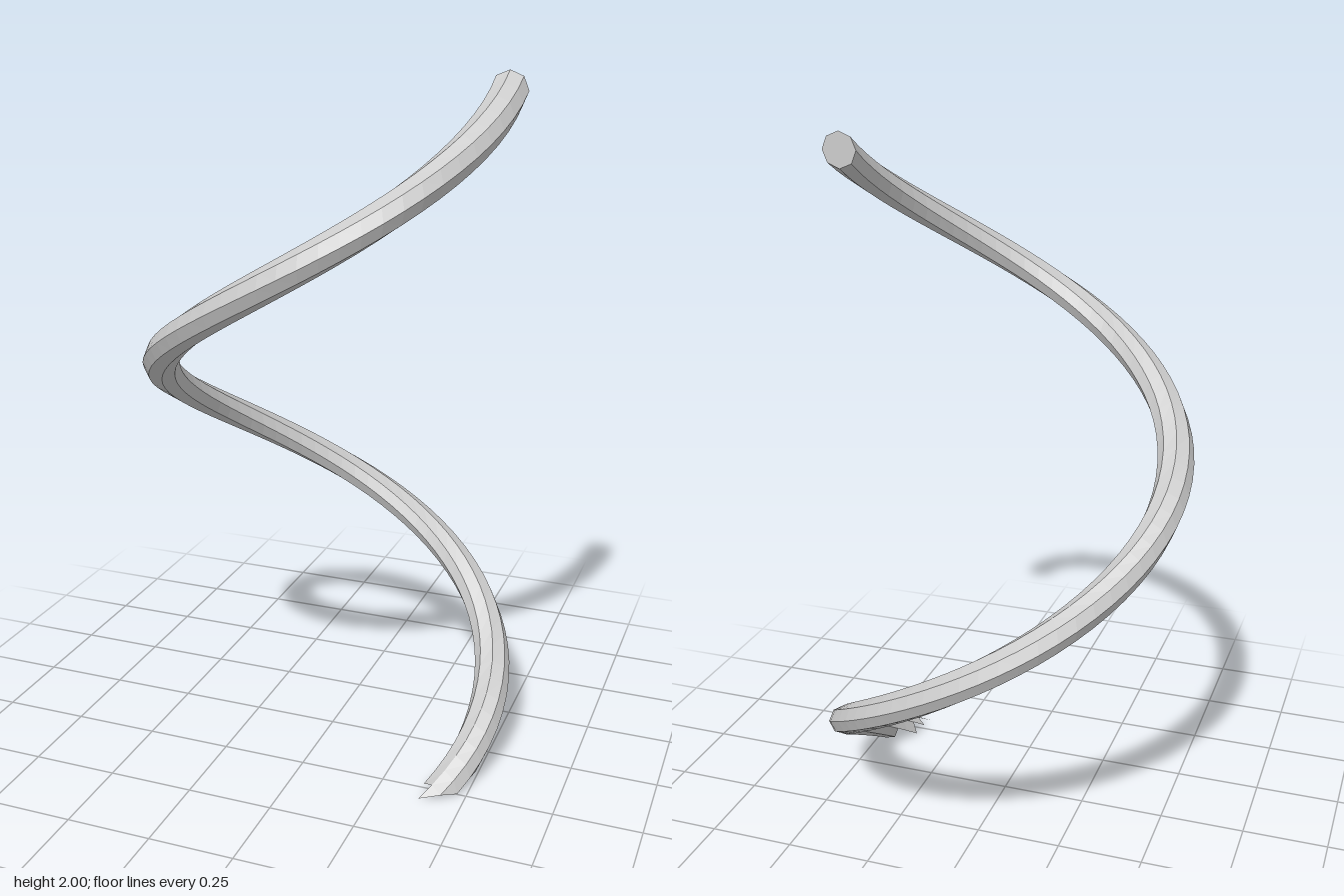
import * as THREE from 'three';

const SIDES = 8, STEPS = 64;            // tube facets, rings per full turn
const RADIUS = 0.487, TUBE = 0.052;     // coil radius, tube radius
const PITCH = 1.8, TOP = 2 - TUBE;      // rise per turn, centre height of the upper end

// Point on the tube: ring i along the coil, corner j around the upright octagon
function tubePoint(i, j) {
  const turn = (i / STEPS) * Math.PI * 2;
  const a = (j / SIDES) * Math.PI * 2;
  const r = RADIUS + TUBE * Math.cos(a);
  const y = TOP - PITCH * (1 - i / STEPS) + TUBE * Math.sin(a);
  return [r * Math.cos(turn), y, -r * Math.sin(turn)];
}

function coilGeometry() {
  const positions = [];
  // Facets reaching below the ground are left out, giving the ragged lower end
  const addTriangle = (...corners) => {
    if (corners.every((p) => p[1] >= 0)) positions.push(...corners.flat());
  };
  for (let i = -8; i < STEPS; i++) {
    for (let j = 0; j < SIDES; j++) {
      const a = tubePoint(i, j), b = tubePoint(i + 1, j);
      const c = tubePoint(i + 1, j + 1), d = tubePoint(i, j + 1);
      addTriangle(a, b, d);
      addTriangle(b, c, d);
    }
  }
  // Flat cap on the upper end
  for (let j = 1; j < SIDES - 1; j++) {
    addTriangle(tubePoint(STEPS, 0), tubePoint(STEPS, j + 1), tubePoint(STEPS, j));
  }
  const geometry = new THREE.BufferGeometry();
  geometry.setAttribute('position', new THREE.Float32BufferAttribute(positions, 3));
  geometry.computeVertexNormals();
  return geometry;
}

export function createModel() {
  const group = new THREE.Group();
  group.name = 'spiral';
  const material = new THREE.MeshStandardMaterial({
    color: 0xcccccc, flatShading: true, side: THREE.DoubleSide,
  });
  const coil = new THREE.Mesh(coilGeometry(), material);
  coil.name = 'coil';
  group.add(coil);
  return group;
}
